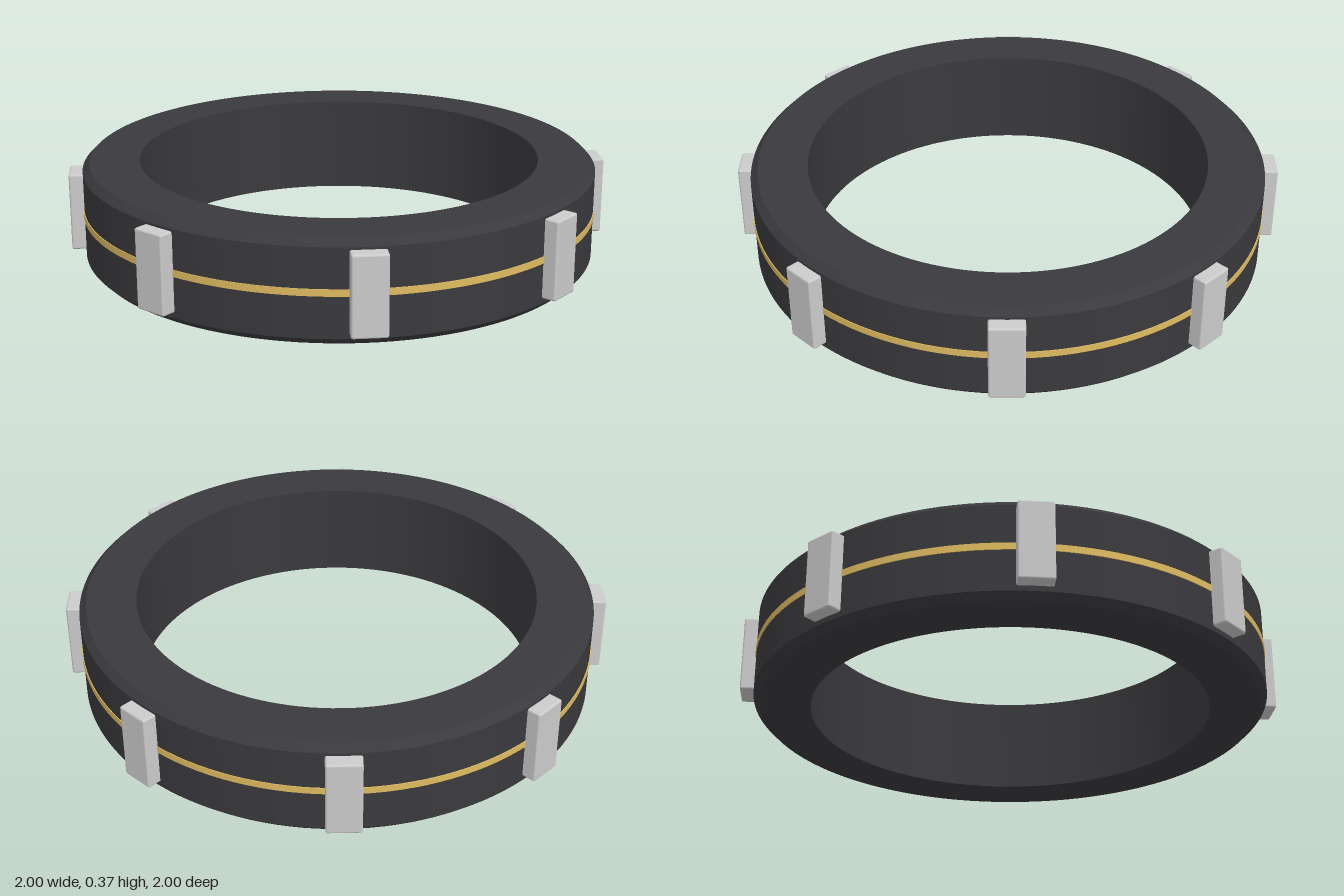
import * as THREE from 'three';
import { toCreasedNormals } from 'three/addons/utils/BufferGeometryUtils.js';
import { RoundedBoxGeometry } from 'three/addons/geometries/RoundedBoxGeometry.js';

const HEIGHT = 0.37, OUTER = 0.95, INNER = 0.74, CHAMFER = 0.026;

// Revolves a closed [radius, y] profile, keeping its corners sharp
function revolve(name, profile, color) {
  const points = [...profile, profile[0]].map(([r, y]) => new THREE.Vector2(r, y));
  const geometry = toCreasedNormals(new THREE.LatheGeometry(points, 128), Math.PI / 6);
  const mesh = new THREE.Mesh(geometry, new THREE.MeshStandardMaterial({ color }));
  mesh.name = name;
  return mesh;
}

export function createModel() {
  const model = new THREE.Group();
  model.name = 'studdedRing';

  // Dark band with chamfered outer rims
  model.add(revolve('band', [
    [INNER, 0],
    [OUTER - CHAMFER, 0],
    [OUTER, CHAMFER],
    [OUTER, HEIGHT - CHAMFER],
    [OUTER - CHAMFER, HEIGHT],
    [INNER, HEIGHT],
  ], 0x3a3a3e));

  // Thin gold line around the middle, slightly proud of the band
  const mid = HEIGHT / 2 + 0.003, half = 0.0125;
  model.add(revolve('goldInlay', [
    [OUTER - 0.01, mid - half],
    [OUTER + 0.003, mid - half],
    [OUTER + 0.003, mid + half],
    [OUTER - 0.01, mid + half],
  ], 0xe0bc60));

  // Eight upright blocks evenly spaced around the outside
  const blocks = new THREE.Group();
  blocks.name = 'blocks';
  const depth = 0.09;
  const geometry = new RoundedBoxGeometry(0.125, 0.29, depth, 2, 0.008);
  const material = new THREE.MeshStandardMaterial({ color: 0xcccccc });
  for (let i = 0; i < 8; i++) {
    const angle = (i * Math.PI) / 4;
    const block = new THREE.Mesh(geometry, material);
    block.name = 'block' + (i + 1);
    const r = 1 - depth / 2;
    block.position.set(Math.sin(angle) * r, 0.19, Math.cos(angle) * r);
    block.rotation.y = angle;
    blocks.add(block);
  }
  model.add(blocks);

  return model;
}
